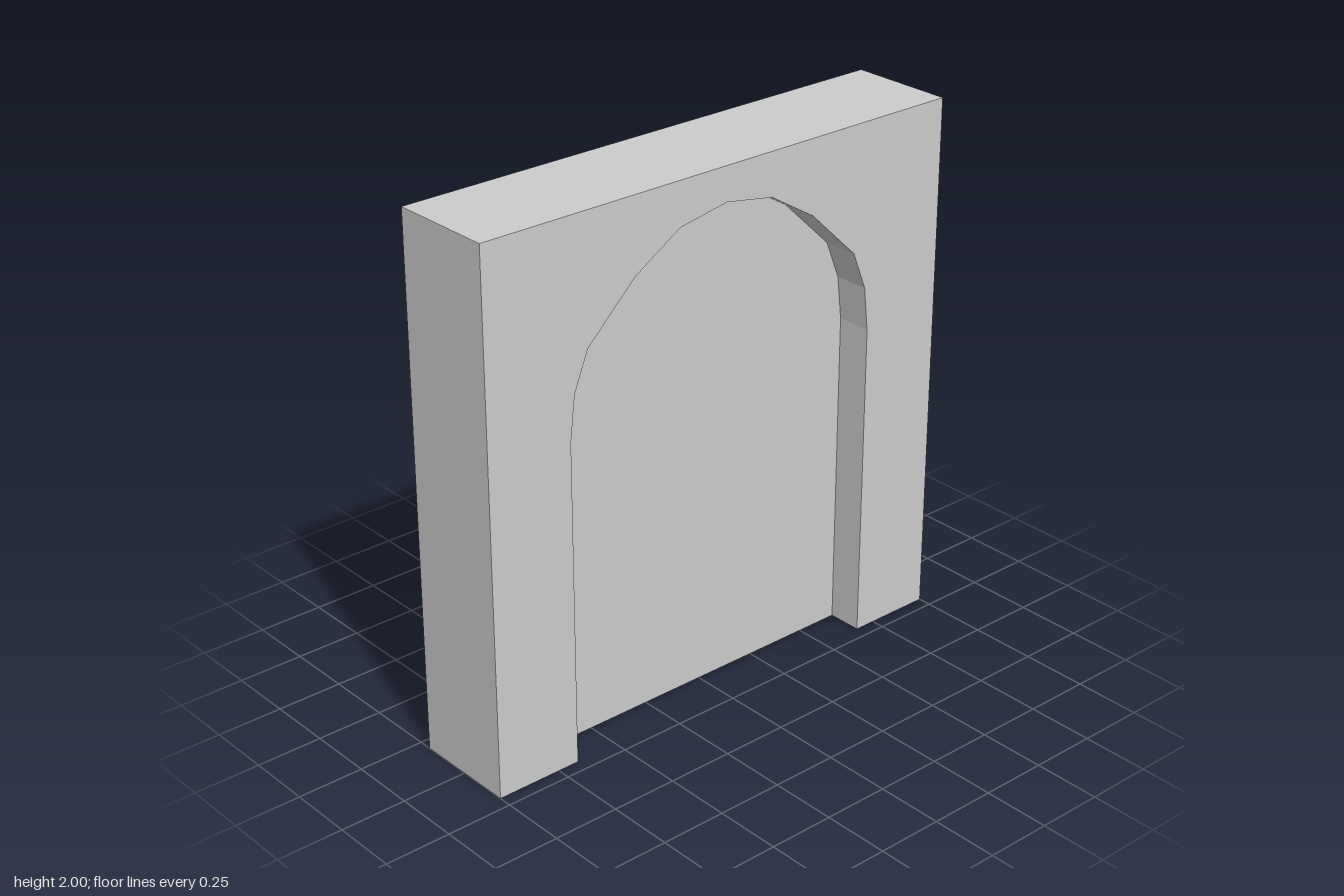
import * as THREE from 'three';

const DEPTH = 0.4;
const PANEL_DEPTH = DEPTH / 3; // niche is one third deep on each face

// Right half of the arch outline, from the floor up to the crown
const halfArch = [
  [0.667, 0], [0.667, 1.22], [0.648, 1.385], [0.59, 1.53],
  [0.39, 1.722], [0.2, 1.838], [0, 1.873],
];

function archPoints() {
  const right = halfArch.map(([x, y]) => new THREE.Vector2(x, y));
  const left = halfArch.slice(0, -1).reverse().map(([x, y]) => new THREE.Vector2(-x, y));
  return [...right, ...left];
}

function extrude(name, points, depth, material) {
  const geometry = new THREE.ExtrudeGeometry(new THREE.Shape(points), { depth, bevelEnabled: false });
  geometry.translate(0, 0, -depth / 2);
  const mesh = new THREE.Mesh(geometry, material);
  mesh.name = name;
  return mesh;
}

export function createModel() {
  const group = new THREE.Group();
  group.name = 'archedWall';
  const material = new THREE.MeshStandardMaterial({ color: 0xcccccc, flatShading: true });

  // Square wall with an arched opening cut up from the floor
  const corners = [[-1, 0], [-1, 2], [1, 2], [1, 0]].map(([x, y]) => new THREE.Vector2(x, y));
  group.add(extrude('wallSurround', [...corners, ...archPoints()], DEPTH, material));

  // Thin panel closing the opening, set back from both faces
  group.add(extrude('recessedPanel', archPoints(), PANEL_DEPTH, material));

  return group;
}
